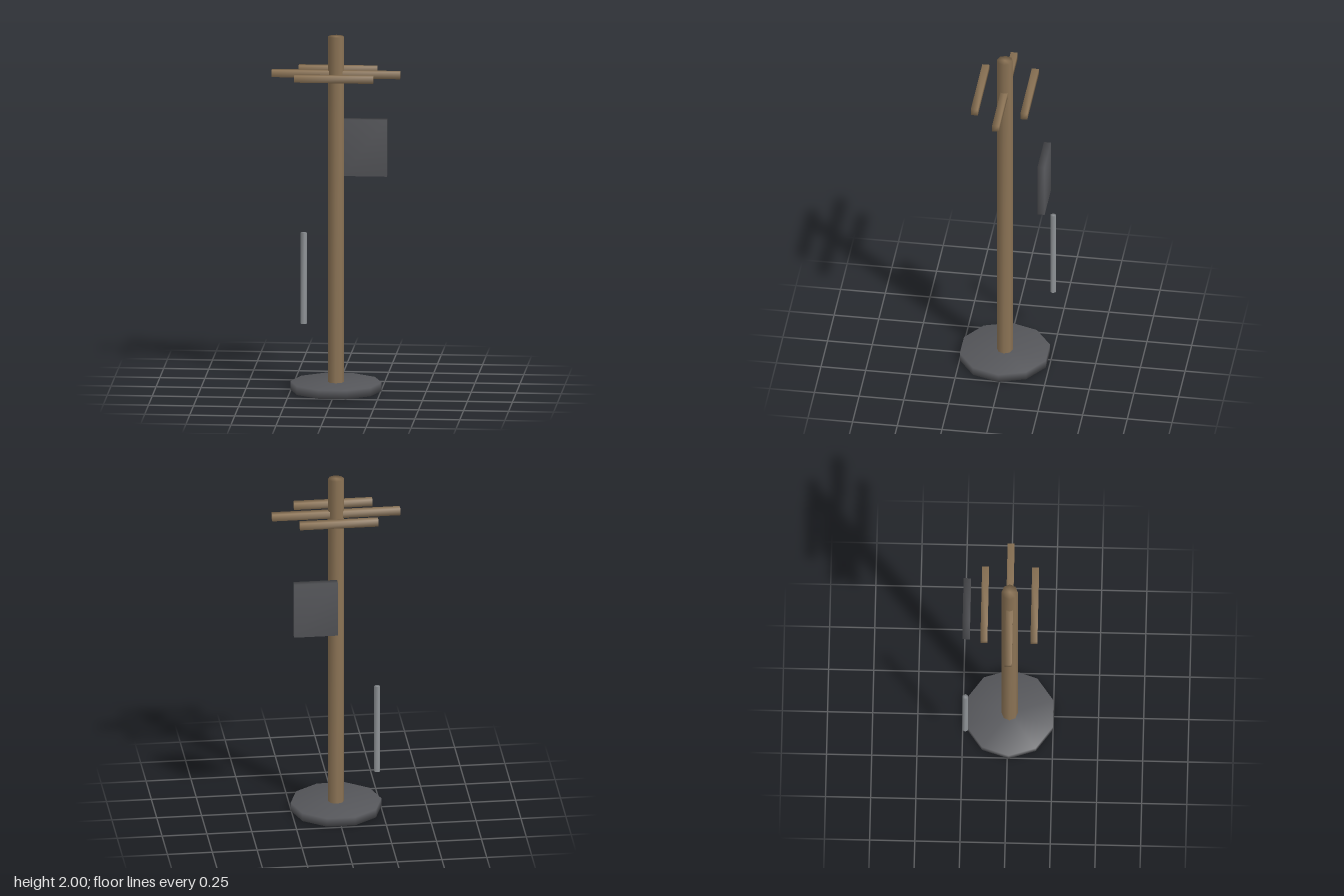
import * as THREE from 'three';
import { mergeVertices } from 'three/addons/utils/BufferGeometryUtils.js';

const wood = new THREE.MeshStandardMaterial({ color: 0x8b7355 });
const darkMetal = new THREE.MeshStandardMaterial({ color: 0x55565a });
const lightMetal = new THREE.MeshStandardMaterial({ color: 0x909498 });

// Weld all corners so normals blend softly across the low-poly edges.
function soften(geometry) {
  geometry.deleteAttribute('normal');
  geometry.deleteAttribute('uv');
  const welded = mergeVertices(geometry);
  welded.computeVertexNormals();
  return welded;
}

function createModel() {
  const group = new THREE.Group();

  function add(name, geometry, material, x, y, z) {
    const mesh = new THREE.Mesh(soften(geometry), material);
    mesh.name = name;
    mesh.position.set(x, y, z);
    group.add(mesh);
  }
  // Upright prism standing on y = bottom, first corner turned by `turn`.
  function prism(name, radius, sides, turn, bottom, top, material, x, z) {
    const h = top - bottom;
    const geometry = new THREE.CylinderGeometry(radius, radius, h, sides, 1, false, turn);
    add(name, geometry, material, x, bottom + h / 2, z);
  }

  const axisZ = 0.008;

  // Ten-sided foot and eight-sided post
  prism('base', 0.253, 10, Math.PI / 10, 0, 0.048, darkMetal, 0, axisZ);
  prism('pole', 0.045, 8, 0, 0.01, 2, wood, 0, axisZ);

  // Long crossarm through the post, shorter ones in front and behind
  const arms = [
    ['centreCrossarm', 0.714, axisZ],
    ['frontCrossarm', 0.437, 0.147],
    ['backCrossarm', 0.437, -0.13],
  ];
  for (const [name, length, z] of arms) {
    add(name, new THREE.BoxGeometry(length, 0.039, 0.039), wood, 0, 1.787, z);
  }

  // Equipment panel and conduit behind the post
  add('panel', new THREE.BoxGeometry(0.243, 0.32, 0.04), darkMetal, 0.142, 1.325, -0.233);
  prism('conduit', 0.0175, 6, Math.PI / 6, 0.323, 0.838, lightMetal, -0.2, -0.233);

  return group;
}

export { createModel };
